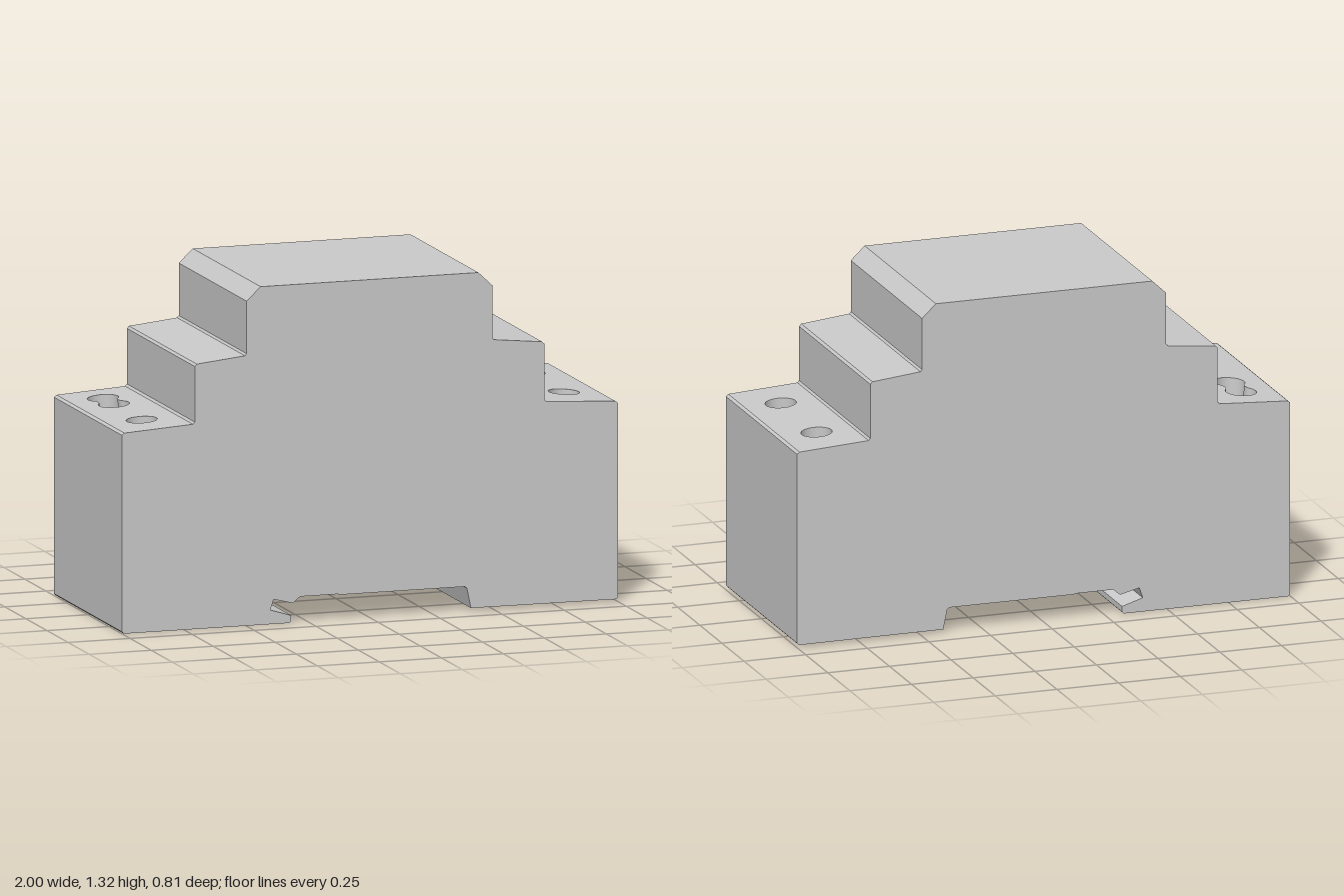
import * as THREE from 'three';
import { mergeGeometries } from 'three/addons/utils/BufferGeometryUtils.js';

const HALF = 0.403;      // half depth along z
const HOLE_R = 0.06;
const HOLE_DEPTH = 0.2;

// Side profile, counter-clockwise, starting at the bottom left
const PROFILE = [
  [-1, 0.008], [-0.992, 0], [-0.325, 0], [-0.318, 0.007], [-0.318, 0.029],  // bottom, spring lip
  [-0.402, 0.055], [-0.388, 0.096], [-0.31, 0.076], [-0.282, 0.1],          // rail slot
  [-0.13, 0.1], [-0.12, 0.097], [0.383, 0.097], [0.391, 0.09], [0.407, 0.012],
  [0.992, 0.01], [1, 0.018], [1, 0.772], [0.99, 0.78],
  [0.71, 0.797], [0.703, 0.805], [0.703, 1.021], [0.694, 1.03],
  [0.5, 1.05], [0.493, 1.058], [0.493, 1.262], [0.437, 1.315],
  [-0.441, 1.315], [-0.497, 1.262], [-0.497, 1.058], [-0.504, 1.05],
  [-0.698, 1.03], [-0.706, 1.021], [-0.706, 0.805], [-0.714, 0.797],
  [-0.99, 0.78], [-1, 0.772],
].map(([x, y]) => new THREE.Vector2(x, y));
const RIGHT_SHOULDER = 17, LEFT_SHOULDER = 33;   // index of the edge's first point

const roundHole = (u, v) => new THREE.Shape().absarc(u, v, HOLE_R, 0, Math.PI * 2, false);

// Two round holes joined by a smooth waist
function keyhole(u, vLow, vHigh) {
  const neck = 0.04, h = (vHigh - vLow) / 2, mid = (vLow + vHigh) / 2;
  const r = (neck * neck + h * h - HOLE_R * HOLE_R) / (2 * (HOLE_R - neck));
  const c = neck + r, t = Math.atan2(h, c), PI = Math.PI;
  return new THREE.Shape()
    .absarc(u, vHigh, HOLE_R, -t, PI + t, false)
    .absarc(u - c, mid, r, t, -t, true)
    .absarc(u, vLow, HOLE_R, PI - t, 2 * PI + t, false)
    .absarc(u + c, mid, r, PI + t, PI - t, true);
}

// Frame of a profile edge: u along the edge, v along z, w outward
function edgeMatrix(a, b) {
  const d = b.clone().sub(a).normalize();
  return new THREE.Matrix4().makeBasis(
    new THREE.Vector3(d.x, d.y, 0), new THREE.Vector3(0, 0, 1), new THREE.Vector3(d.y, -d.x, 0)
  ).setPosition(a.x, a.y, 0);
}

// Flat wall swept from one profile edge, optionally pierced
function wall(a, b, holes) {
  const len = a.distanceTo(b);
  const shape = new THREE.Shape([[0, -HALF], [len, -HALF], [len, HALF], [0, HALF]]
    .map(([u, v]) => new THREE.Vector2(u, v)));
  shape.holes = holes;
  return new THREE.ShapeGeometry(shape, 24).applyMatrix4(edgeMatrix(a, b));
}

// Vertical lining of a blind hole
function lining(shape) {
  const pts = shape.getPoints(24), pos = [], idx = [], n = pts.length;
  pts.forEach((p, i) => {
    pos.push(p.x, p.y, 0, p.x, p.y, -HOLE_DEPTH);
    const j = (i + 1) % n;
    idx.push(2 * i, 2 * j, 2 * i + 1, 2 * j, 2 * j + 1, 2 * i + 1);
  });
  const g = new THREE.BufferGeometry();
  g.setAttribute('position', new THREE.Float32BufferAttribute(pos, 3));
  g.setIndex(idx);
  g.computeVertexNormals();
  return g;
}

export function createModel() {
  const model = new THREE.Group();
  model.name = 'railHousing';
  const grey = new THREE.MeshStandardMaterial({ color: 0xcccccc });
  const greyDouble = new THREE.MeshStandardMaterial({ color: 0xcccccc, side: THREE.DoubleSide });
  const add = (parent, name, geometry, material = grey) => {
    const mesh = new THREE.Mesh(geometry, material);
    mesh.name = name;
    parent.add(mesh);
  };

  // Terminal screw holes, in the frame of each shoulder
  const uR = PROFILE[RIGHT_SHOULDER].x - 0.85, uL = PROFILE[LEFT_SHOULDER].x + 0.855;
  const holes = {
    [RIGHT_SHOULDER]: [roundHole(uR, 0.2), roundHole(uR, -0.205)],
    [LEFT_SHOULDER]: [roundHole(uL, 0.21), keyhole(uL, -0.25, -0.12)],
  };

  // Outer walls around the profile
  const next = i => PROFILE[(i + 1) % PROFILE.length];
  add(model, 'outerWalls', mergeGeometries(PROFILE.map((p, i) => wall(p, next(i), holes[i] || []))));

  // Front and back faces
  add(model, 'frontFace', new THREE.ShapeGeometry(new THREE.Shape(PROFILE)).translate(0, 0, HALF));
  const mirrored = PROFILE.map(p => new THREE.Vector2(-p.x, p.y)).reverse();
  add(model, 'backFace', new THREE.ShapeGeometry(new THREE.Shape(mirrored))
    .rotateY(Math.PI).translate(0, 0, -HALF));

  // Hole linings and floors
  for (const [edge, shapes] of Object.entries(holes)) {
    const i = Number(edge), matrix = edgeMatrix(PROFILE[i], next(i));
    for (const shape of shapes) {
      const hole = new THREE.Group();
      hole.name = 'screwHole';
      add(hole, 'holeLining', lining(shape).applyMatrix4(matrix), greyDouble);
      add(hole, 'holeFloor', new THREE.ShapeGeometry(shape, 24)
        .translate(0, 0, -HOLE_DEPTH).applyMatrix4(matrix));
      model.add(hole);
    }
  }
  return model;
}
